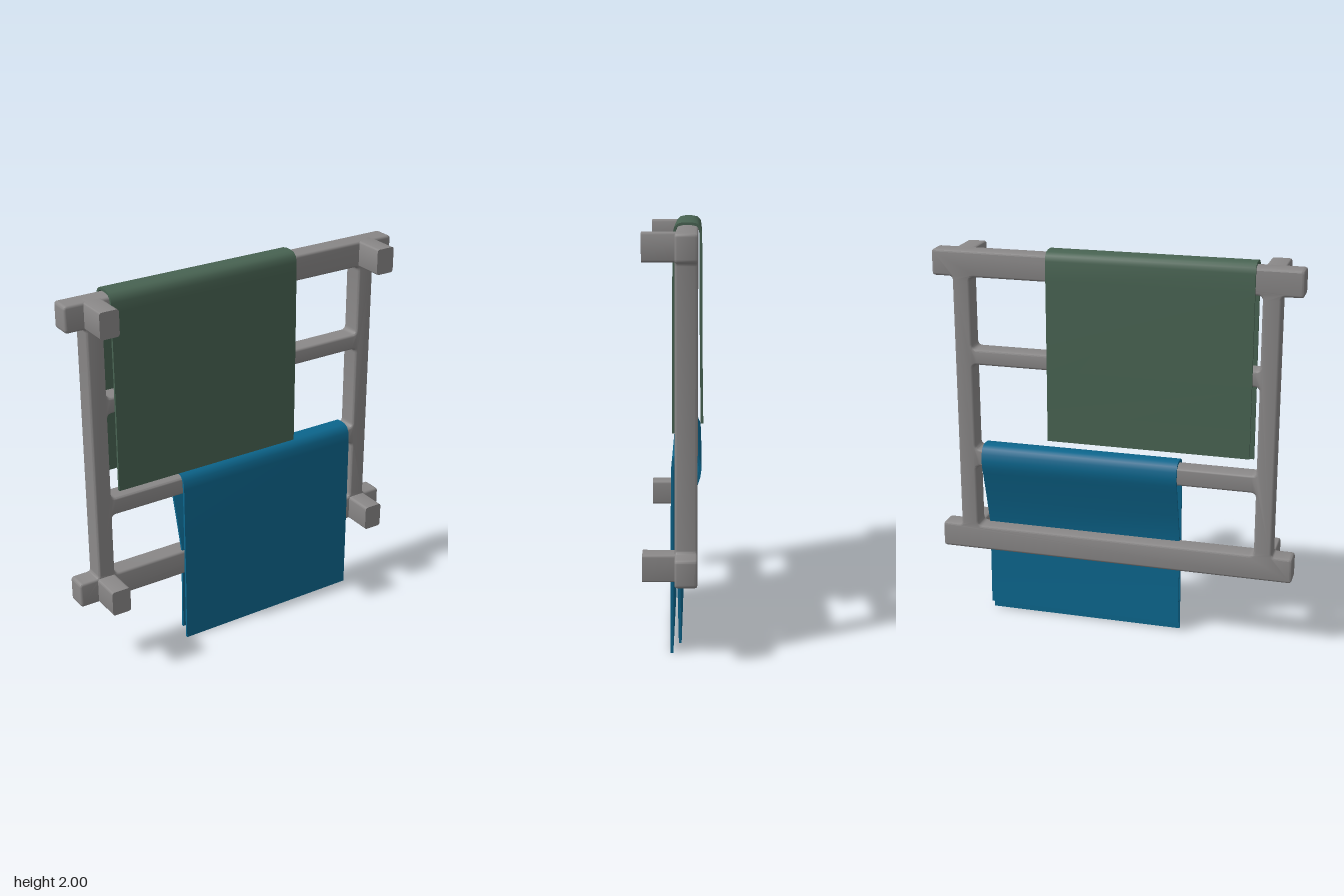
import * as THREE from 'three';
import { toCreasedNormals } from 'three/addons/utils/BufferGeometryUtils.js';

const metal = new THREE.MeshStandardMaterial({ color: 0x8a8888 });
metal.name = 'grey metal';
const green = new THREE.MeshStandardMaterial({ color: 0x486352 });
green.name = 'green cloth';
const blue = new THREE.MeshStandardMaterial({ color: 0x0c668d });
blue.name = 'blue cloth';

// Draws a closed polygon with every corner rounded by radius r
function roundedPolygon(points, r, target) {
  const pts = points.map(([x, y]) => new THREE.Vector2(x, y));
  const toward = (a, b) => b.clone().sub(a).setLength(r).add(a);
  pts.forEach((p, i) => {
    const prev = pts[(i + pts.length - 1) % pts.length];
    const next = pts[(i + 1) % pts.length];
    const a = toward(p, prev), b = toward(p, next);
    if (i === 0) target.moveTo(a.x, a.y);
    else target.lineTo(a.x, a.y);
    target.quadraticCurveTo(p.x, p.y, b.x, b.y);
  });
  target.closePath();
  return target;
}

const rect = (x0, x1, y0, y1) => [[x0, y0], [x1, y0], [x1, y1], [x0, y1]];

function addMesh(group, name, geometry, material, crease = 0.6) {
  const mesh = new THREE.Mesh(toCreasedNormals(geometry, crease), material);
  mesh.name = name;
  group.add(mesh);
}

// Cloth of even thickness following a side profile of [z, y] points
function towel(group, name, profile, x0, x1, material, thickness = 0.013) {
  const pts = profile.map(([z, y]) => new THREE.Vector2(-z, y));
  const side = (sign) => pts.map((p, i) => {
    const a = pts[Math.max(i - 1, 0)], b = pts[Math.min(i + 1, pts.length - 1)];
    const t = b.clone().sub(a).normalize();
    return new THREE.Vector2(p.x - t.y * sign * thickness / 2, p.y + t.x * sign * thickness / 2);
  });
  const shape = new THREE.Shape([...side(1), ...side(-1).reverse()]);
  const geo = new THREE.ExtrudeGeometry(shape, { depth: x1 - x0, bevelEnabled: false });
  geo.rotateY(Math.PI / 2).translate(x0, 0, 0);
  addMesh(group, name, geo, material, 0.7);
}

export function createModel() {
  const group = new THREE.Group();
  const post = 0.82, inner = 0.73, end = 0.925;
  const low = [0.382, 0.514], high = [1.843, 1.975];

  // Frame: two posts and four rails with filleted openings
  const outline = roundedPolygon([
    [-end, low[0]], [end, low[0]], [end, low[1]], [post, low[1]],
    [post, high[0]], [end, high[0]], [end, high[1]], [-end, high[1]],
    [-end, high[0]], [-post, high[0]], [-post, low[1]], [-end, low[1]],
  ], 0.018, new THREE.Shape());
  for (const [y0, y1] of [[low[1], 0.848], [0.94, 1.394], [1.475, high[0]]]) {
    outline.holes.push(roundedPolygon(rect(-inner, inner, y0, y1).reverse(), 0.025, new THREE.Path()));
  }
  const bevel = 0.012;
  const frame = new THREE.ExtrudeGeometry(outline, {
    depth: 0.104 - 2 * bevel, bevelThickness: bevel, bevelSize: bevel,
    bevelOffset: -bevel, bevelSegments: 3, curveSegments: 5,
  });
  frame.translate(0, 0, -0.113 + bevel);
  addMesh(group, 'frame', frame, metal);

  // Four wall brackets
  for (const s of [-1, 1]) {
    for (const [y0, y1] of [low, high]) {
      const shape = roundedPolygon(rect(-0.05, 0.05, y0, y1), 0.015, new THREE.Shape());
      const geo = new THREE.ExtrudeGeometry(shape, { depth: 0.2, bevelEnabled: false, curveSegments: 5 });
      geo.translate(s * 0.777, 0, -0.06);
      addMesh(group, 'wallBracket', geo, metal);
    }
  }

  // Green towel over the top rail
  towel(group, 'greenTowel', [
    [0.006, 0.985], [0.006, 1.5], [0.003, 1.9], [0.002, 1.95], [-0.004, 1.975], [-0.018, 1.988],
    [-0.04, 1.993], [-0.08, 1.993], [-0.105, 1.988], [-0.119, 1.975], [-0.124, 1.95],
    [-0.126, 1.85], [-0.128, 1.4], [-0.133, 1.034],
  ], -0.697, 0.33, green);

  // Blue towel over the lower middle rail, its back tucked in front of the bottom rail
  towel(group, 'blueTowel', [
    [0.006, 0], [0.006, 0.5], [0.004, 0.88], [0, 0.925], [-0.012, 0.947], [-0.03, 0.957],
    [-0.06, 0.959], [-0.09, 0.957], [-0.109, 0.945], [-0.119, 0.92], [-0.124, 0.885],
    [-0.119, 0.85], [-0.108, 0.815], [-0.07, 0.68], [-0.028, 0.52], [-0.025, 0.4],
    [-0.028, 0.25], [-0.033, 0.048],
  ], -0.333, 0.692, blue);

  return group;
}
